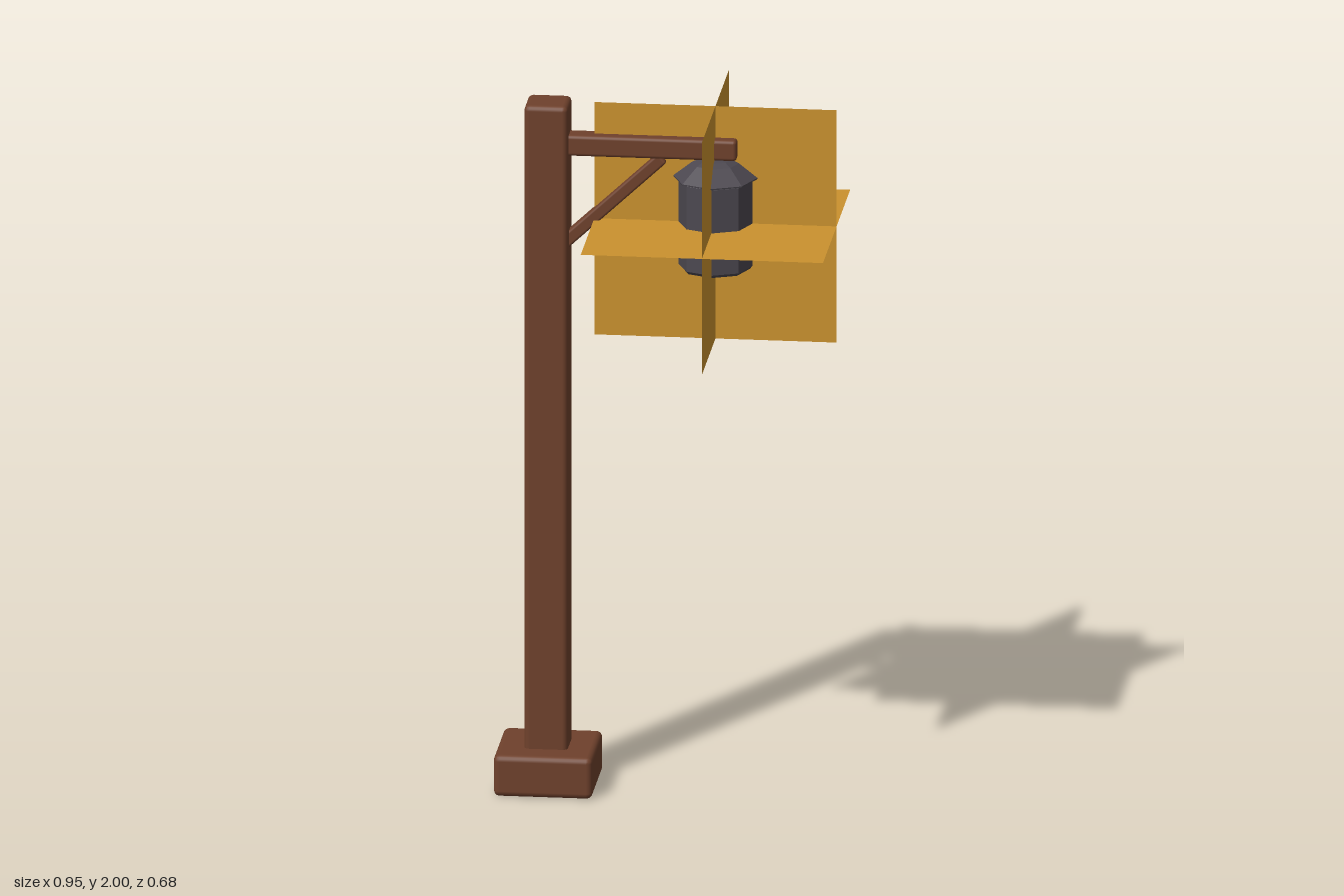
import * as THREE from 'three';
import { RoundedBoxGeometry } from 'three/addons/geometries/RoundedBoxGeometry.js';

export function createModel() {
  const model = new THREE.Group();
  model.name = 'lampPost';

  const wood = new THREE.MeshStandardMaterial({ color: 0x6f412c });
  wood.name = 'brown wood';
  const iron = new THREE.MeshStandardMaterial({ color: 0x4c4850, flatShading: true });
  iron.name = 'dark iron';
  const glow = new THREE.MeshStandardMaterial({ color: 0xcb922e, side: THREE.DoubleSide });
  glow.name = 'amber glow';

  const add = (name, geometry, material, x, y, z = 0, parent = model) => {
    const mesh = new THREE.Mesh(geometry, material);
    mesh.name = name;
    mesh.position.set(x, y, z);
    parent.add(mesh);
    return mesh;
  };
  const block = (name, w, h, d, r, x, y) =>
    add(name, new RoundedBoxGeometry(w, h, d, 2, r), wood, x, y);

  // Timber frame
  const postX = -0.337;
  block('base', 0.277, 0.12, 0.277, 0.017, postX, 0.065).scale.y = 1.0;
  model.getObjectByName('base').position.y = 0.06;
  block('post', 0.122, 1.9, 0.122, 0.015, postX, 1.05);
  block('beam', 0.5, 0.06, 0.062, 0.01, -0.055, 1.878);

  // Diagonal brace from post to beam
  const a = new THREE.Vector2(-0.3, 1.58), b = new THREE.Vector2(-0.015, 1.847);
  const brace = block('brace', a.distanceTo(b), 0.036, 0.04, 0.007, (a.x + b.x) / 2, (a.y + b.y) / 2);
  brace.rotation.z = Math.atan2(b.y - a.y, b.x - a.x);

  // Eight-sided lantern hanging under the beam
  const lampX = 0.133;
  const lathe = (points) =>
    new THREE.LatheGeometry(points.map(([r, y]) => new THREE.Vector2(r, y)), 8);
  add('lanternBody', lathe([
    [0, 1.527], [0.096, 1.527], [0.104, 1.536], [0.104, 1.785], [0.098, 1.793], [0, 1.793],
  ]), iron, lampX, 0);
  add('lanternRoof', lathe([
    [0, 1.79], [0.117, 1.79], [0.118, 1.794], [0.066, 1.835], [0.045, 1.845], [0, 1.852],
  ]), iron, lampX, 0);

  // Three crossed glow planes centred on the lantern
  const halo = new THREE.Group();
  halo.name = 'glowPlanes';
  halo.position.set(lampX, 1.66, 0);
  model.add(halo);
  const plane = new THREE.PlaneGeometry(0.68, 0.68);
  add('glowFront', plane, glow, 0, 0, 0, halo);
  add('glowSide', plane, glow, 0, 0, 0, halo).rotation.y = Math.PI / 2;
  add('glowLevel', plane, glow, 0, 0, 0, halo).rotation.x = -Math.PI / 2;

  return model;
}
